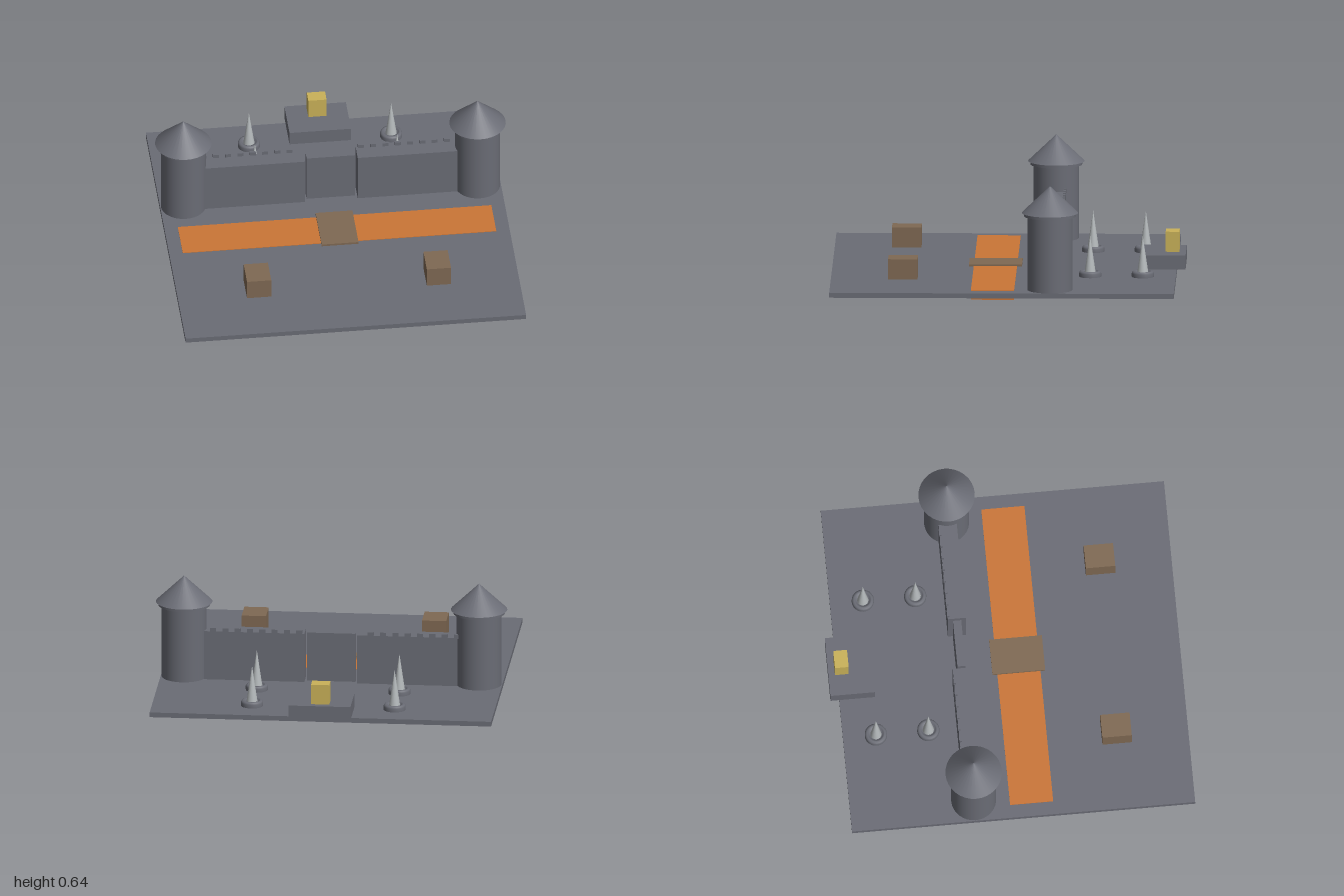
import * as THREE from 'three';

const mat = (name, color) => {
  const m = new THREE.MeshStandardMaterial({ color });
  m.name = name;
  return m;
};

export function createModel() {
  const model = new THREE.Group();
  model.name = 'castleCourtyard';

  const stone = mat('stone', 0x6a6c75);
  const lava = mat('lava', 0xcb7636);
  const wood = mat('wood', 0x7f6953);
  const gold = mat('gold', 0xcab259);
  const spray = mat('paleGrey', 0xb4b9bb);

  const add = (name, geo, material, x = 0, y = 0, z = 0, parent = model) => {
    const mesh = new THREE.Mesh(geo, material);
    mesh.name = name;
    mesh.position.set(x, y, z);
    parent.add(mesh);
    return mesh;
  };
  // box given by its limits on each axis
  const box = (name, material, [x0, x1], [y0, y1], [z0, z1], parent) =>
    add(name, new THREE.BoxGeometry(x1 - x0, y1 - y0, z1 - z0), material,
      (x0 + x1) / 2, (y0 + y1) / 2, (z0 + z1) / 2, parent);

  // ground slab, moat and bridge
  box('ground', stone, [-0.97, 0.97], [0.022, 0.05], [-0.95, 1]);
  box('moat', lava, [-0.893, 0.893], [0, 0.053], [-0.045, 0.2]);
  box('bridge', wood, [-0.105, 0.105], [0.051, 0.063], [-0.073, 0.227]);

  // corner towers with collar and conical roof
  for (const side of [-1, 1]) {
    const tower = new THREE.Group();
    tower.name = side < 0 ? 'rightTower' : 'leftTower';
    tower.position.set(side * 0.838, 0, -0.247);
    model.add(tower);
    add('towerBody', new THREE.CylinderGeometry(0.128, 0.128, 0.43, 32), stone, 0, 0.265, 0, tower);
    add('towerCollar', new THREE.CylinderGeometry(0.147, 0.147, 0.022, 32), stone, 0, 0.484, 0, tower);
    add('towerRoof', new THREE.ConeGeometry(0.16, 0.153, 32), stone, 0, 0.5685, 0, tower);
  }

  // walls, each with a row of merlons along the rear edge
  for (const [name, x0, x1, first] of [['rightWall', -0.72, -0.15, -0.717], ['leftWall', 0.15, 0.72, 0.179]]) {
    const wall = new THREE.Group();
    wall.name = name;
    model.add(wall);
    box('wallBody', stone, [x0, x1], [0.05, 0.335], [-0.303, -0.2], wall);
    for (let i = 0; i < 8; i++) {
      const x = first + i * 0.07;
      box('merlon', stone, [x - 0.017, x + 0.017], [0.33, 0.356], [-0.306, -0.292], wall);
    }
  }

  // gate between the walls
  box('gate', stone, [-0.138, 0.138], [0.05, 0.335], [-0.275, -0.228]);

  // dais and throne
  box('dais', stone, [-0.175, 0.175], [0.05, 0.13], [-1, -0.748]);
  box('throne', gold, [-0.052, 0.052], [0.13, 0.245], [-0.963, -0.885]);

  // fountains: shallow round basin and pointed jet
  const basinProfile = [[0.063, 0.05], [0.063, 0.07], [0.059, 0.079], [0.05, 0.083],
    [0.04, 0.081], [0.035, 0.07], [0, 0.07]].map(([r, y]) => new THREE.Vector2(r, y));
  const basinGeo = new THREE.LatheGeometry(basinProfile, 24);
  const jetGeo = new THREE.ConeGeometry(0.032, 0.215, 16);
  for (const x of [-0.405, 0.405]) {
    for (const z of [-0.763, -0.465]) {
      const fountain = new THREE.Group();
      fountain.name = 'fountain';
      fountain.position.set(x, 0, z);
      model.add(fountain);
      add('basin', basinGeo, stone, 0, 0, 0, fountain);
      add('jet', jetGeo, spray, 0, 0.1775, 0, fountain);
    }
  }

  // crates in the forecourt
  for (const x of [-0.513, 0.511]) {
    box('crate', wood, [x - 0.069, x + 0.069], [0.06, 0.175], [0.508, 0.675]);
  }

  return model;
}
